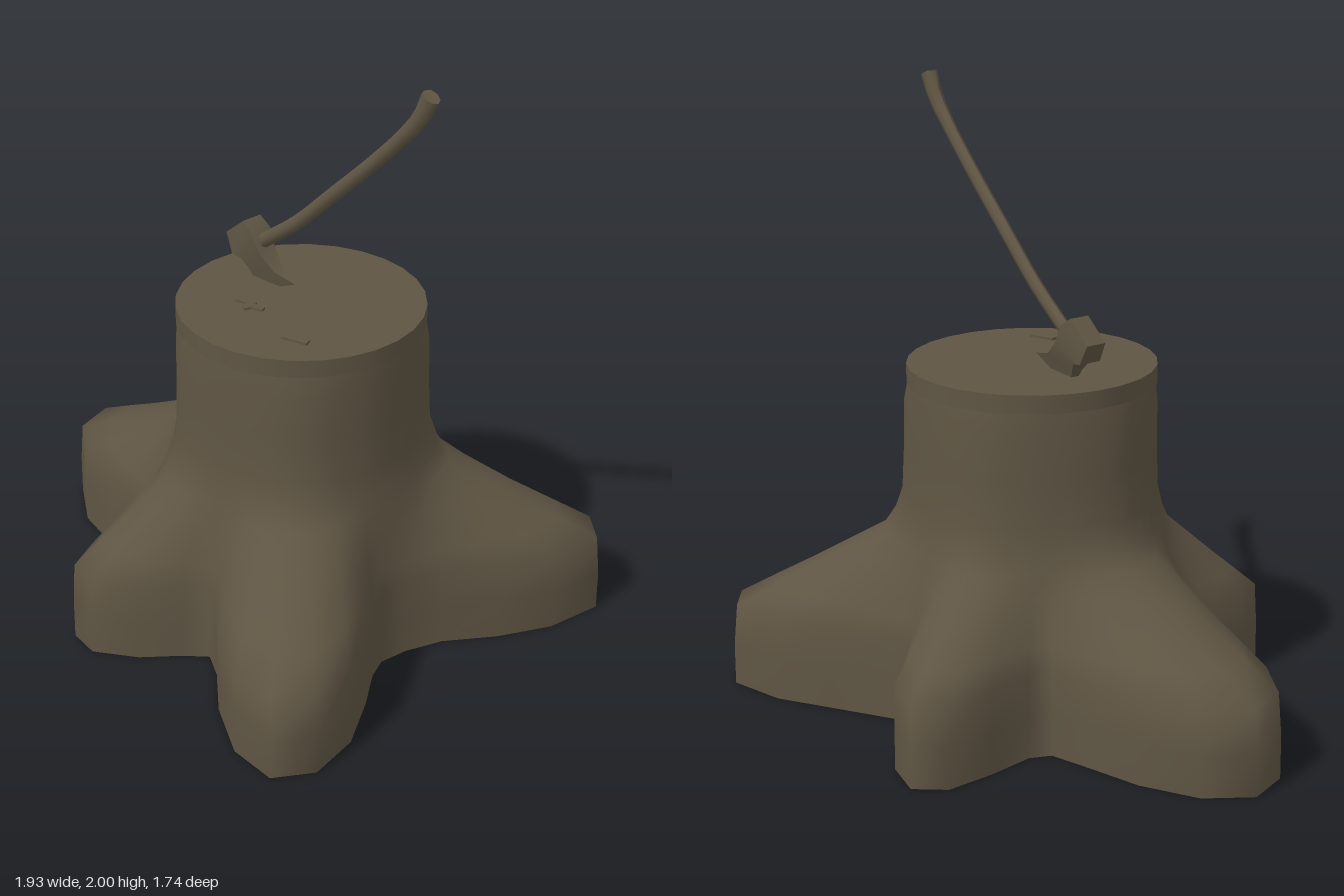
import * as THREE from 'three';
import { toCreasedNormals } from 'three/addons/utils/BufferGeometryUtils.js';

// Skin a surface over rings of points; each ring runs clockwise seen from the next one
function loft(rings, capped) {
  const n = rings[0].length, pos = rings.flat(2), idx = [];
  for (let i = 0; i < rings.length - 1; i++) {
    for (let j = 0; j < n; j++) {
      const a = i * n + j, b = i * n + (j + 1) % n, c = a + n, d = b + n;
      idx.push(a, c, b, b, c, d);
    }
  }
  if (capped) {
    const e = (rings.length - 1) * n;
    for (let j = 1; j < n - 1; j++) idx.push(0, j, j + 1, e, e + j + 1, e + j);
  }
  const g = new THREE.BufferGeometry();
  g.setAttribute('position', new THREE.Float32BufferAttribute(pos, 3));
  g.setIndex(idx);
  g.computeVertexNormals();
  return g;
}

export function createModel() {
  const model = new THREE.Group();
  model.name = 'stumpWithAxe';
  const wood = new THREE.MeshStandardMaterial({ color: 0x5f5543, side: THREE.DoubleSide });
  wood.name = 'darkWood';
  const add = (parent, name, geo) => {
    const m = new THREE.Mesh(geo, wood);
    m.name = name;
    parent.add(m);
    return m;
  };
  const cx = 0.05, cz = -0.033;

  // Ground outline of the five roots (x, z)
  const outline = [
    [-0.07, -0.87], [0.05, -0.79], [0.13, -0.64], [0.19, -0.53], [0.26, -0.5],
    [0.5, -0.55], [0.69, -0.59], [0.89, -0.57], [0.965, -0.46], [0.88, -0.28],
    [0.75, -0.14], [0.6, -0.02], [0.52, 0.09], [0.48, 0.18], [0.49, 0.26],
    [0.54, 0.4], [0.59, 0.59], [0.57, 0.77], [0.46, 0.865], [0.3, 0.81],
    [0.15, 0.66], [0.05, 0.51], [-0.02, 0.44], [-0.1, 0.48], [-0.22, 0.56],
    [-0.37, 0.61], [-0.47, 0.565], [-0.49, 0.44], [-0.45, 0.29], [-0.41, 0.18],
    [-0.5, 0.13], [-0.66, 0.06], [-0.84, -0.04], [-0.965, -0.19], [-0.965, -0.34],
    [-0.83, -0.44], [-0.63, -0.47], [-0.45, -0.455], [-0.3, -0.445], [-0.25, -0.5],
    [-0.22, -0.65], [-0.17, -0.81]
  ];
  // Height, trunk radius and how far the roots spread at that height
  const levels = [
    [0, 0.42, 1], [0.14, 0.42, 0.998], [0.28, 0.42, 0.975], [0.35, 0.42, 0.76],
    [0.42, 0.42, 0.54], [0.49, 0.42, 0.33], [0.56, 0.42, 0.12], [0.62, 0.41, 0.07],
    [0.7, 0.4, 0.04], [0.85, 0.398, 0.03], [1.0, 0.398, 0.025], [1.1, 0.394, 0]
  ];
  add(model, 'trunkAndRoots', loft(levels.map(([y, r, f]) => outline.map(([x, z]) => {
    const dx = x - cx, dz = z - cz, d = Math.hypot(dx, dz);
    const k = (r + (d - r) * f) / d;
    return [cx + dx * k, y, cz + dz * k];
  })), false));

  // Sawn top
  add(model, 'cutTop', new THREE.CylinderGeometry(0.403, 0.403, 0.06, 28)).position.set(cx, 1.1, cz);

  // Thin splinters lying on the sawn top: x, z, length, width, turn
  [[-0.09, 0.075, 0.07, 0.022, -0.1], [-0.05, 0.095, 0.07, 0.02, 0.1],
   [-0.06, 0.1, 0.045, 0.015, 0.9], [0.17, 0.212, 0.09, 0.025, 0]].forEach(([x, z, l, w, turn]) => {
    const s = add(model, 'splinter', new THREE.BoxGeometry(l, 0.009, w));
    s.position.set(x, 1.134, z);
    s.rotation.y = turn;
  });

  // Axe, modelled in a vertical plane and turned into place
  const axe = new THREE.Group();
  axe.name = 'axe';
  axe.position.set(-0.13, 0, -0.105);
  axe.rotation.y = -0.326;
  model.add(axe);
  const toPlane = x => (x + 0.13) / 0.947;

  // Head: upper and lower edge points and half thickness, from poll to cutting edge
  const head = [
    [-0.187, 1.325, -0.268, 1.255, 0.036], [-0.145, 1.295, -0.238, 1.19, 0.04],
    [-0.115, 1.235, -0.2, 1.183, 0.034], [-0.062, 1.185, -0.178, 1.15, 0.02],
    [0.015, 1.165, -0.15, 1.08, 0.002]
  ];
  add(axe, 'axeHead', toCreasedNormals(loft(head.map(([ux, uy, lx, ly, t]) => [
    [toPlane(ux), uy, t], [toPlane(ux), uy, -t], [toPlane(lx), ly, -t], [toPlane(lx), ly, t]
  ]), true), 0.6));

  // Handle: gently curved, oval, flared at the grip end
  const path = new THREE.CatmullRomCurve3([
    [-0.17, 1.235], [-0.125, 1.27], [0.02, 1.385], [0.17, 1.532], [0.33, 1.69],
    [0.46, 1.828], [0.53, 1.915], [0.565, 1.99]
  ].map(([x, y]) => new THREE.Vector3(toPlane(x), y, 0)));
  const rings = [], steps = 18;
  for (let i = 0; i <= steps; i++) {
    const u = i / steps, p = path.getPointAt(u), t = path.getTangentAt(u);
    const r = 0.024 + 0.008 * Math.max(0, (u - 0.8) / 0.2);
    rings.push(Array.from({ length: 8 }, (_, j) => {
      const a = j / 8 * Math.PI * 2, n = Math.cos(a) * r;
      return [p.x - t.y * n, Math.min(2, p.y + t.x * n), -Math.sin(a) * r * 0.8];
    }));
  }
  add(axe, 'axeHandle', toCreasedNormals(loft(rings, true), 0.9));

  return model;
}
